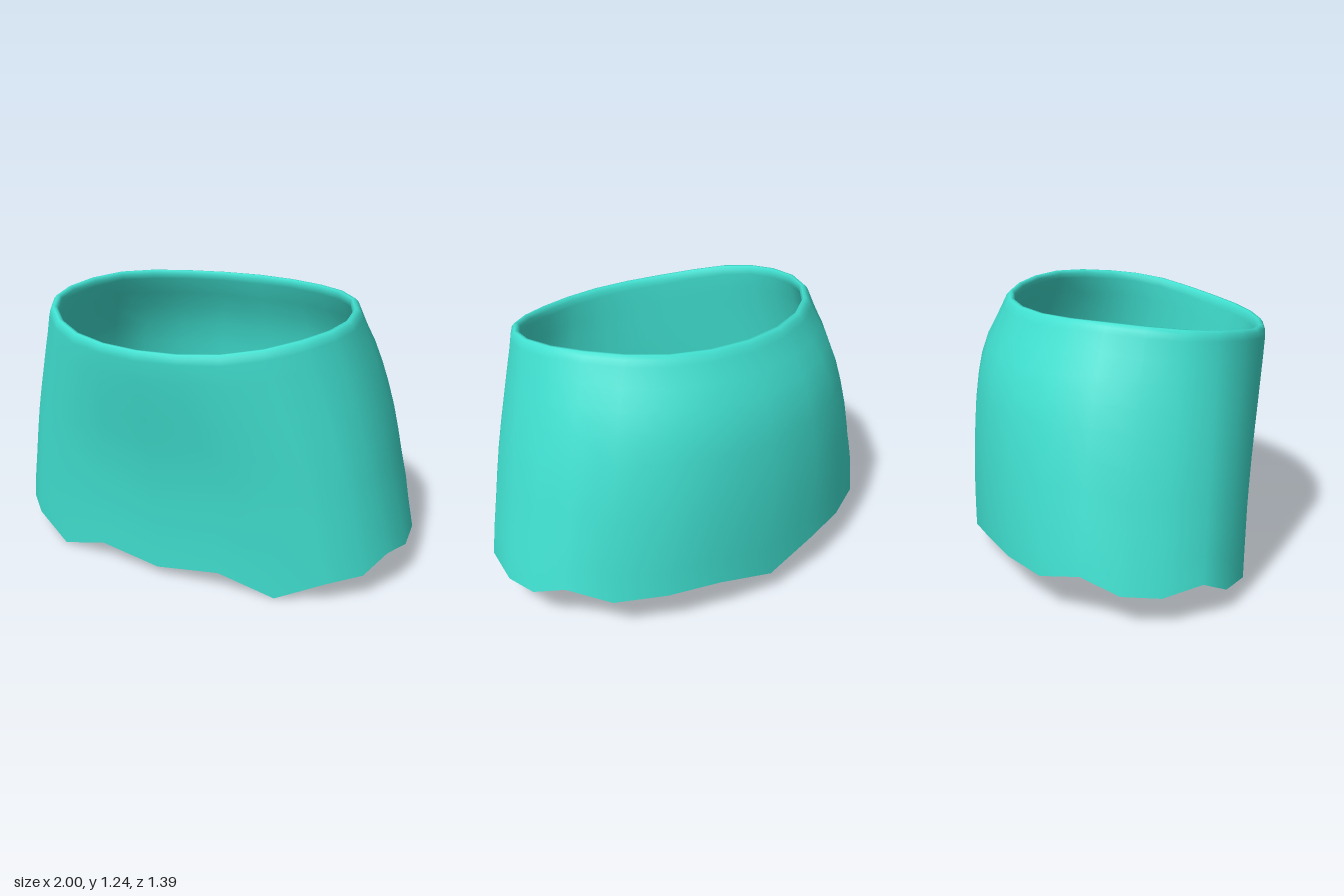
import * as THREE from 'three';

const SEGMENTS = 24, WALL = 0.045;

// Ragged hem from front centre round one side to back centre: x, y, z
const HEM = [
  [0, 0.04, 0.545], [0.31, 0.08, 0.53], [0.57, 0, 0.485], [0.78, 0.09, 0.41],
  [0.91, 0.11, 0.29], [0.975, 0.18, 0.165], [1, 0.15, -0.02], [0.975, 0.165, -0.19],
  [0.9, 0.235, -0.345], [0.75, 0.18, -0.49], [0.53, 0.18, -0.6], [0.29, 0.18, -0.67],
  [0, 0.11, -0.695],
];

// How far the wall has moved from hem to rim at evenly spaced heights
const ease = (values) => new THREE.SplineCurve(
  values.map((v, i) => new THREE.Vector2(i / (values.length - 1), v)));
const FRONT = ease([0, 0.1, 0.33, 0.72, 1.05]);
const SIDE = ease([0, 0.22, 0.44, 0.72, 1]);
const BACK = ease([0, 0.01, 0.1, 0.36, 1]);

// Height of the sloping rim along z
const RIM_HEIGHT = new THREE.SplineCurve([
  [0.69, 1.115], [0.39, 1.18], [0.09, 1.215], [-0.21, 1.237], [-0.51, 1.225],
].map(([z, y]) => new THREE.Vector2(z, y)));

// Point on the wall at column k, height fraction t, moved inward by inset
function wallPoint(k, t, inset) {
  const angle = (k / SEGMENTS) * Math.PI * 2;
  const s = Math.sin(angle), c = Math.cos(angle);
  const [hx, hy, hz] = HEM[k <= 12 ? k : SEGMENTS - k];
  const side = k <= 12 ? 1 : -1;
  const topX = 0.75 * s;
  const topZ = 0.14 + (c > 0 ? 0.55 : 0.65) * c;
  const topY = RIM_HEIGHT.getPoint(THREE.MathUtils.clamp((0.69 - topZ) / 1.2, 0, 1)).y;
  const f = s * s * SIDE.getPoint(t).y + c * c * (c > 0 ? FRONT : BACK).getPoint(t).y;
  const normal = new THREE.Vector2(s, c / 0.7).normalize();
  return [
    THREE.MathUtils.lerp(side * hx, topX, f) - normal.x * inset,
    THREE.MathUtils.lerp(hy, topY, t),
    THREE.MathUtils.lerp(hz, topZ, f) - normal.y * inset,
  ];
}

// Closed band through a list of [height fraction, inset] rows
function band(rows) {
  const positions = [], index = [];
  rows.forEach(([t, inset], i) => {
    for (let k = 0; k < SEGMENTS; k++) {
      positions.push(...wallPoint(k, t, inset));
      if (i === rows.length - 1) continue;
      const a = i * SEGMENTS + k, b = i * SEGMENTS + (k + 1) % SEGMENTS;
      index.push(a, b, a + SEGMENTS, b, b + SEGMENTS, a + SEGMENTS);
    }
  });
  const geometry = new THREE.BufferGeometry();
  geometry.setAttribute('position', new THREE.Float32BufferAttribute(positions, 3));
  geometry.setIndex(index);
  geometry.computeVertexNormals();
  return geometry;
}

export function createModel() {
  const group = new THREE.Group();
  group.name = 'skirt';
  const material = new THREE.MeshStandardMaterial({ color: 0x40e0d0 });
  const add = (name, geometry) => {
    const mesh = new THREE.Mesh(geometry, material);
    mesh.name = name;
    group.add(mesh);
  };

  // Outer wall, rounded rim and inner wall as one smooth surface
  const heights = [0, 0.12, 0.24, 0.36, 0.48, 0.6, 0.7, 0.8, 0.88, 0.96];
  const rows = [
    ...heights.map((t) => [t, 0]),
    [0.985, WALL * 0.08], [1, WALL * 0.35], [1, WALL * 0.65], [0.985, WALL * 0.92],
    ...heights.slice().reverse().map((t) => [t, WALL]),
  ];
  add('clothShell', band(rows));

  // Flat cut edge along the bottom
  const hem = band([[0, WALL], [0, 0]]);
  add('hemEdge', hem);
  return group;
}
